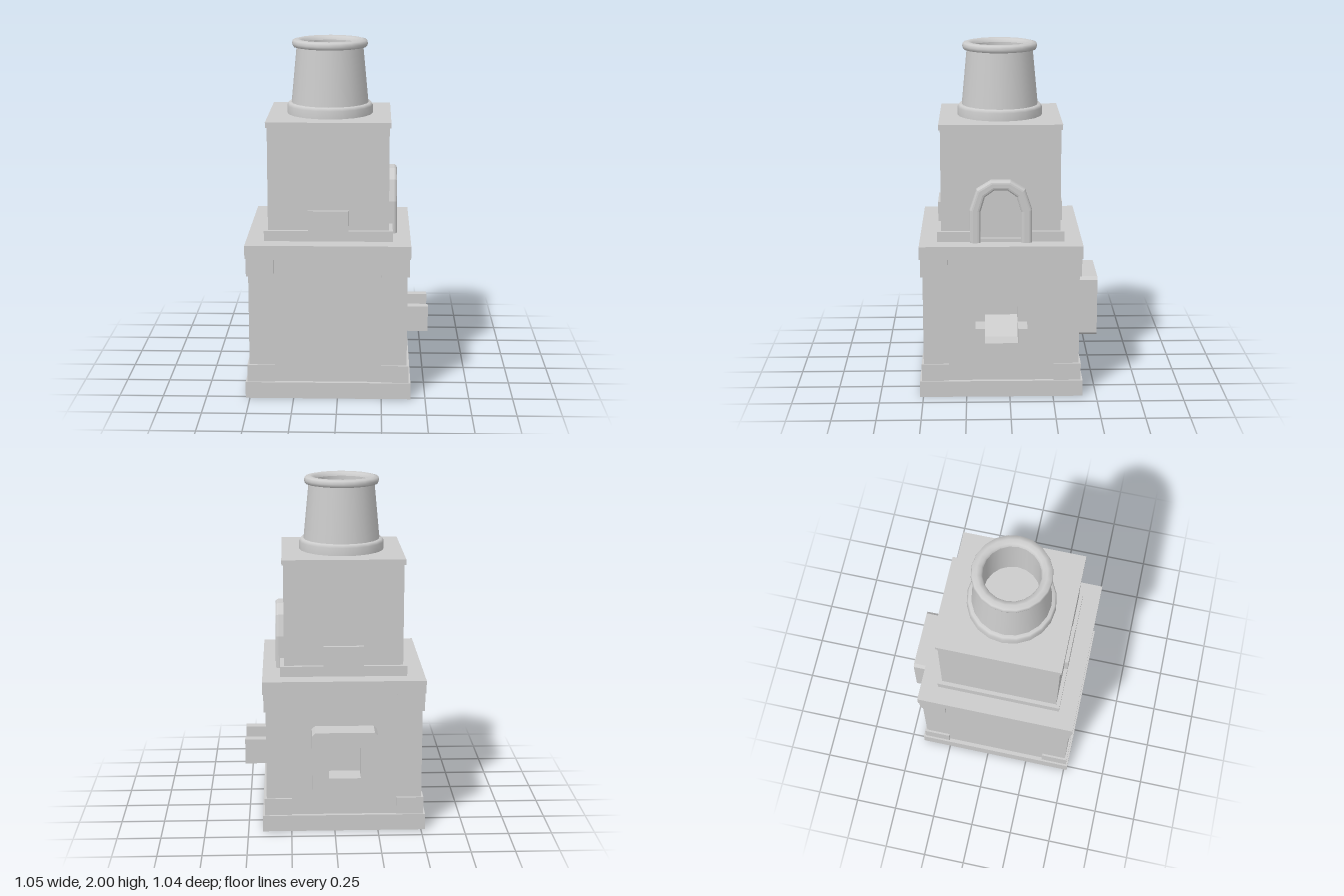
import * as THREE from 'three';

const material = new THREE.MeshStandardMaterial({ color: 0xcccccc });
const thinMaterial = new THREE.MeshStandardMaterial({ color: 0xcccccc, side: THREE.DoubleSide });

function polygon(points, PathType = THREE.Shape) {
  return new PathType(points.map(([x, y]) => new THREE.Vector2(x, y)));
}

const rect = (x0, x1, y0, y1) => [[x0, y0], [x1, y0], [x1, y1], [x0, y1]];

// Extrudes an outline with optional hole along +z
function extrude(outline, hole, depth, bevel = 0) {
  const shape = polygon(outline);
  if (hole) shape.holes.push(polygon(hole, THREE.Path));
  return new THREE.ExtrudeGeometry(shape, {
    depth: depth - bevel, bevelEnabled: bevel > 0, bevelThickness: bevel,
    bevelSize: bevel, bevelOffset: -bevel, bevelSegments: 3,
  });
}

export function createModel() {
  const model = new THREE.Group();
  model.name = 'furnaceTower';
  model.position.set(-0.054, 0, 0.049);

  const add = (name, geometry, mat = material) => {
    const mesh = new THREE.Mesh(geometry, mat);
    mesh.name = name;
    model.add(mesh);
    return mesh;
  };
  // Box given by its bounds
  const box = (name, x0, x1, y0, y1, z0, z1) => {
    const mesh = add(name, new THREE.BoxGeometry(x1 - x0, y1 - y0, z1 - z0));
    mesh.position.set((x0 + x1) / 2, (y0 + y1) / 2, (z0 + z1) / 2);
    return mesh;
  };
  const slab = (name, half, y0, y1) => box(name, -half, half, y0, y1, -half, half);

  // Base frame, open below so the body's underside sits in a shallow recess
  const base = add('baseFrame', extrude(rect(-0.47, 0.47, -0.47, 0.47), rect(-0.4, 0.4, -0.4, 0.4), 0.095));
  base.rotation.x = -Math.PI / 2;

  // Lower body: a core with a pierced right wall
  box('bodyCore', -0.447, 0.35, 0.04, 0.85, -0.447, 0.447);
  const rightWall = add('rightWall', extrude(rect(-0.447, 0.447, 0.04, 0.85), rect(-0.094, 0.094, 0.36, 0.54), 0.097));
  rightWall.rotation.y = Math.PI / 2;
  rightWall.position.x = 0.35;

  // Corner brackets at the foot and head of the body
  for (const sx of [-1, 1]) for (const sz of [-1, 1]) for (const [y0, y1] of [[0.09, 0.195], [0.72, 0.83]]) {
    const bracket = box('cornerBracket', -0.0785, 0.0785, y0, y1, -0.0785, 0.0785);
    bracket.position.x = sx * 0.3805;
    bracket.position.z = sz * 0.3805;
  }
  slab('bodyCornice', 0.465, 0.825, 0.9);

  // Spout on the right wall, with a ramp inside the opening
  const spout = add('spout', extrude([
    [-0.147, 0.3], [0.147, 0.3], [0.147, 0.45], [0.094, 0.45],
    [0.094, 0.365], [-0.094, 0.365], [-0.094, 0.45], [-0.147, 0.45],
  ], null, 0.13));
  spout.rotation.y = Math.PI / 2;
  spout.position.x = 0.446;
  const ramp = add('spoutRamp', extrude([[0.35, 0.36], [0.47, 0.36], [0.35, 0.46]], null, 0.188));
  ramp.position.z = -0.094;

  // Back window: chamfered frame around a square recess
  const c = 0.018, w = 0.186, h = 0.181;
  const frameOutline = [
    [-w + c, -h], [w - c, -h], [w, -h + c], [w, h - c],
    [w - c, h], [-w + c, h], [-w, h - c], [-w, -h + c],
  ];
  const frame = add('windowFrame', extrude(frameOutline, rect(-0.09, 0.09, -0.09, 0.09), 0.128));
  frame.rotation.y = Math.PI;
  frame.position.set(0, 0.45, -0.444);

  // Upper tower and its roof slab
  slab('upperBody', 0.341, 0.9, 1.55);
  slab('roofSlab', 0.35, 1.545, 1.575);

  // Plinth strips around the tower, left open at the doorway
  for (const s of [-1, 1]) {
    const strip = box('plinthStrip', -0.363, 0.363, 0.9, 0.96, -0.012, 0.012);
    strip.position.z = s * 0.351;
    const tab = box('plinthTab', -0.115, 0.115, 0.95, 1.075, -0.012, 0.012);
    tab.position.z = s * 0.351;
    const side = box('plinthSide', 0.335, 0.363, 0.9, 0.96, -0.105, 0.105);
    side.position.z = s * 0.25;
  }
  box('plinthLeft', -0.363, -0.335, 0.9, 0.96, -0.36, 0.36);

  // Faceted arch around the doorway, with a low sill
  const outer = [[0.177, 0.86], [0.177, 1.09], [0.137, 1.21], [0.055, 1.26]];
  const inner = [[0.038, 1.203], [0.09, 1.165], [0.115, 1.08], [0.115, 0.86]];
  const mirror = (points) => points.map(([x, y]) => [-x, y]).reverse();
  const arch = add('doorArch', extrude([...outer, ...mirror(outer), ...mirror(inner), ...inner], null, 0.05, 0.018));
  arch.rotation.y = Math.PI / 2;
  arch.position.x = 0.339;
  box('doorSill', 0.335, 0.365, 0.89, 0.92, -0.12, 0.12);

  // Chimney turned from one profile per part
  const turn = (name, points) => {
    const flat = points.map(([r, y]) => new THREE.Vector2(r, y));
    return add(name, new THREE.LatheGeometry(flat, 20), thinMaterial);
  };
  turn('chimneyCollar', [[0.247, 1.57], [0.247, 1.62], [0.238, 1.637], [0.21, 1.638]]);
  turn('chimneyStack', [[0.222, 1.63], [0.19, 1.965]]);
  turn('chimneyRim', [[0.185, 1.953], [0.211, 1.957], [0.217, 1.975], [0.212, 1.994], [0.186, 2], [0.163, 1.994], [0.155, 1.975]]);
  turn('chimneyFlue', [[0.155, 1.975], [0.155, 1.7]]);
  const floor = add('flueFloor', new THREE.CircleGeometry(0.156, 20));
  floor.rotation.x = -Math.PI / 2;
  floor.position.y = 1.7;

  return model;
}
